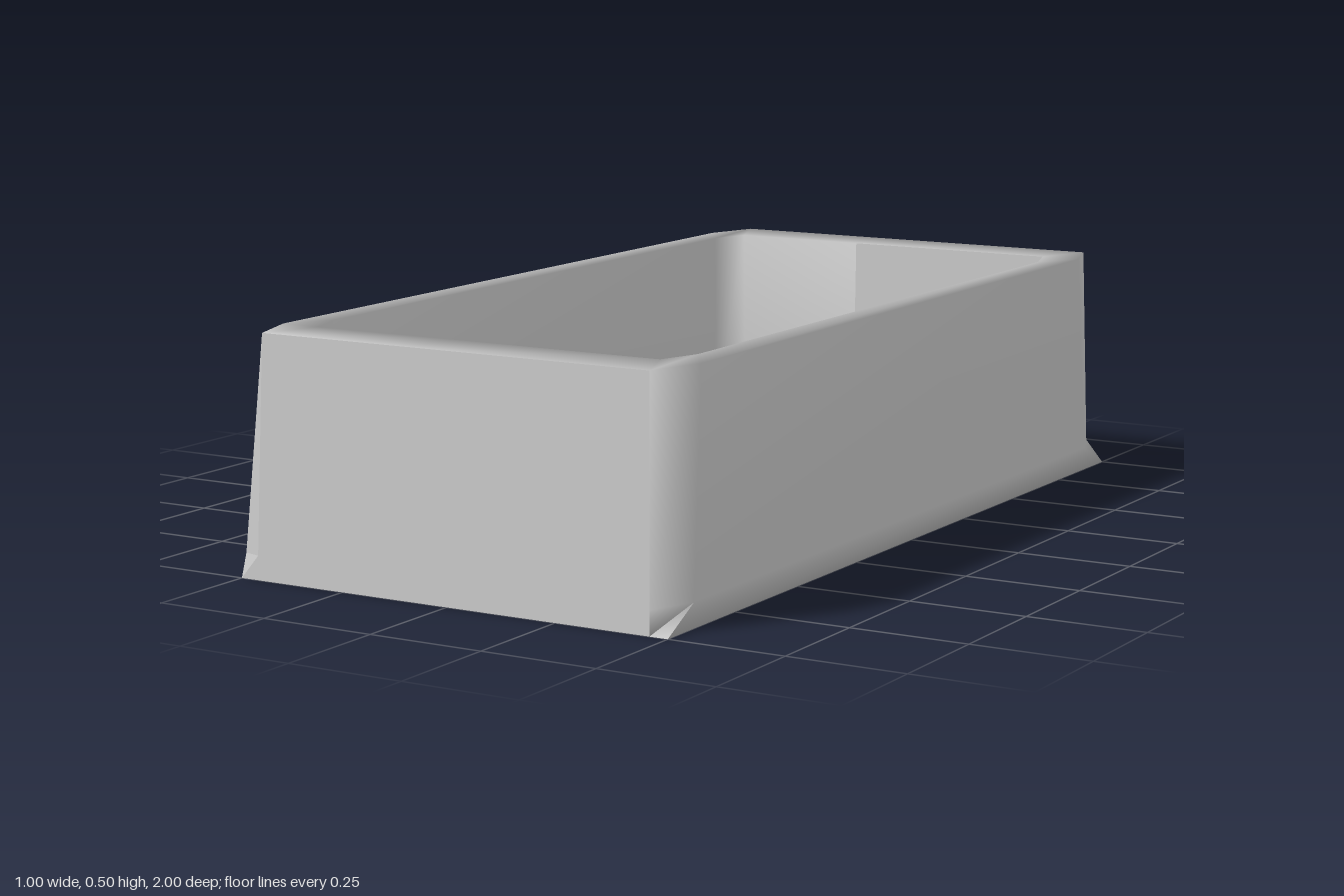
import * as THREE from 'three';

// Ten-point loop: a rectangle with cut corners and a split in each end wall.
// ax/az: end-wall half width and position; bx: side wall; bzR/bzL: where the sides stop.
function loop(y, ax, az, bx, bzR, bzL = bzR) {
  const split = -0.09;
  return [
    [-ax, az], [split, az], [ax, az], [bx, bzR], [bx, -bzR],
    [ax, -az], [split, -az], [-ax, -az], [-bx, -bzL], [-bx, bzL],
  ].map(([x, z]) => [x, y, z]);
}

export function createModel() {
  const outerSmooth = [2, 3, 4];
  const innerSmooth = [0, 6, 7, 8, 9];
  const all = [0, 1, 2, 3, 4, 5, 6, 7, 8, 9];

  // Loops run up the outside, over the rim and down the inside.
  const loops = [
    loop(0, 0.46, 1, 0.5, 1),
    loop(0.05, 0.459, 0.998, 0.498, 0.9, 0.986),
    loop(0.5, 0.45, 0.98, 0.49, 0.86),
    loop(0.5, 0.40, 0.86, 0.43, 0.77),
    loop(0.08, 0.392, 0.85, 0.422, 0.76),
    loop(0.01, 0.39, 0.845, 0.415, 0.75),
  ];
  // Which segments of each band are softly shaded.
  const smooth = [outerSmooth, outerSmooth, all, innerSmooth, innerSmooth];

  const index = [];
  const soft = [];
  const tri = (a, b, c, isSoft) => { index.push(a, b, c); soft.push(isSoft); };
  const n = 10;
  for (let r = 0; r < loops.length - 1; r++) {
    for (let i = 0; i < n; i++) {
      const a = r * n + i, b = r * n + (i + 1) % n;
      const s = smooth[r].includes(i);
      tri(a, b, b + n, s);
      tri(a, b + n, a + n, s);
    }
  }
  // Underside and inner floor as fans.
  const last = (loops.length - 1) * n;
  const under = loops.length * n, floor = under + 1;
  for (let i = 0; i < n; i++) {
    const j = (i + 1) % n;
    tri(under, j, i, false);
    tri(last + i, last + j, floor, false);
  }

  const indexed = new THREE.BufferGeometry();
  const points = [...loops.flat(), [0, 0, 0], [0, 0.01, 0]].flat();
  indexed.setAttribute('position', new THREE.Float32BufferAttribute(points, 3));
  indexed.setIndex(index);
  indexed.computeVertexNormals();

  // Keep blended normals on the soft panels, face normals on the flat ones.
  const geometry = indexed.toNonIndexed();
  const pos = geometry.attributes.position, nor = geometry.attributes.normal;
  const t = new THREE.Triangle(), normal = new THREE.Vector3();
  soft.forEach((isSoft, f) => {
    if (isSoft) return;
    t.setFromAttributeAndIndices(pos, f * 3, f * 3 + 1, f * 3 + 2);
    t.getNormal(normal);
    for (let k = 0; k < 3; k++) nor.setXYZ(f * 3 + k, normal.x, normal.y, normal.z);
  });

  const tub = new THREE.Mesh(geometry, new THREE.MeshStandardMaterial({ color: 0xcccccc }));
  tub.name = 'tub';
  const group = new THREE.Group();
  group.name = 'openTub';
  group.add(tub);
  return group;
}
